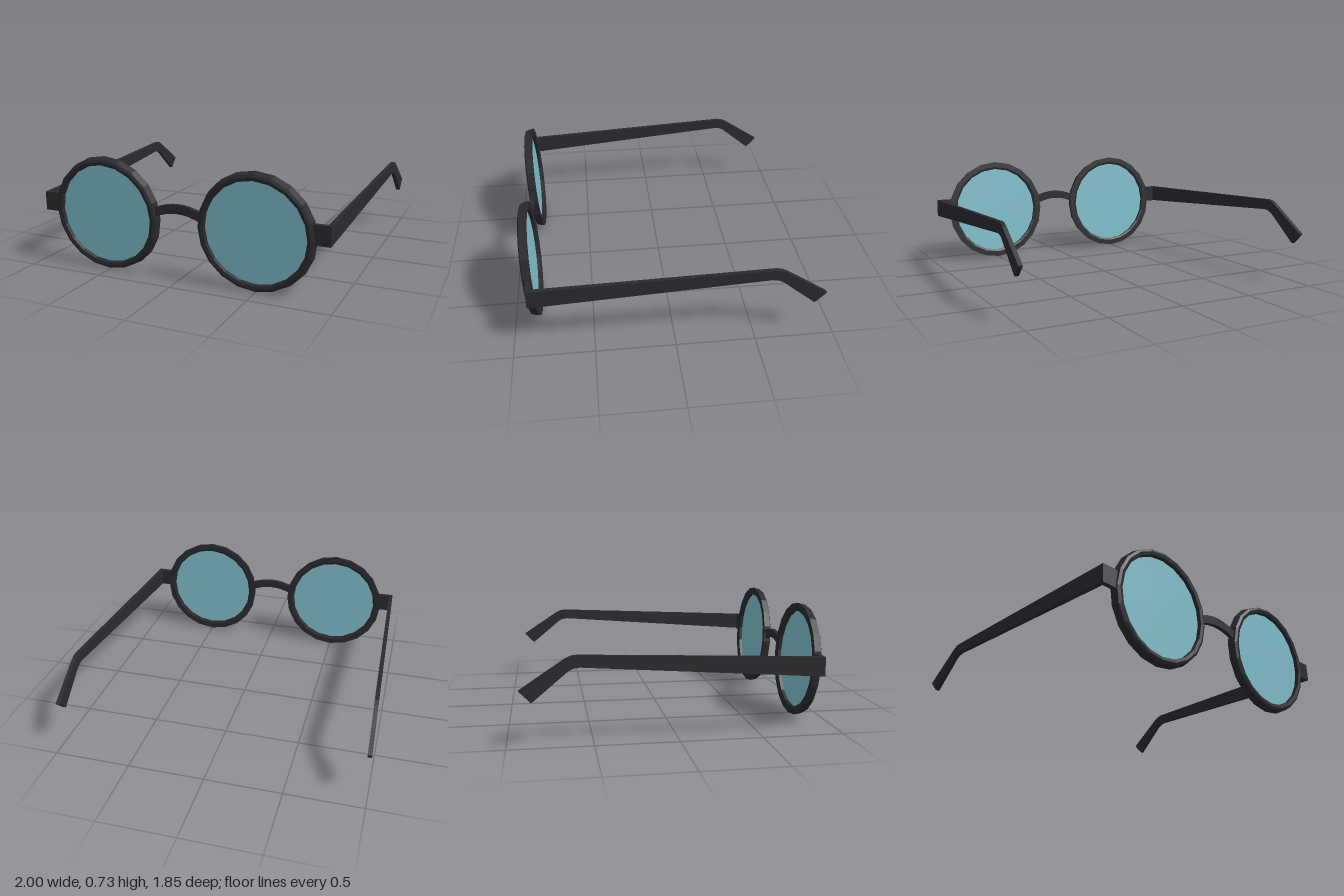
import * as THREE from 'three';

const frameMat = new THREE.MeshStandardMaterial({ color: 0x2b2b2f, flatShading: true });
const lensMat = new THREE.MeshStandardMaterial({ color: 0x7fbecb, side: THREE.DoubleSide });
const SIDES = 20;

function part(name, geometry, material = frameMat) {
  const mesh = new THREE.Mesh(geometry, material);
  mesh.name = name;
  return mesh;
}

// Round rim with a chamfered front, and its tinted lens
function createEyepiece() {
  const profile = [
    [0.368, -0.027], [0.358, 0.02], [0.342, 0.028], [0.322, 0.024], [0.315, -0.022], [0.33, -0.028], [0.368, -0.027],
  ].map(([r, z]) => new THREE.Vector2(r, z));
  const rim = part('rim', new THREE.LatheGeometry(profile, SIDES).rotateX(Math.PI / 2));
  const lens = part('lens', new THREE.CircleGeometry(0.32, SIDES).rotateZ(Math.PI / 2), lensMat);
  const eyepiece = new THREE.Group();
  eyepiece.name = 'eyepiece';
  eyepiece.add(rim, lens);
  eyepiece.position.set(0.5, 0.37, 0.877);
  eyepiece.rotation.x = 0.06;
  return eyepiece;
}

// Temple arm: side outline (z, y) extruded thin, then splayed outwards to the back
function createArm() {
  const outline = [
    [0.888, 0.35], [0.888, 0.47], [-0.59, 0.532], [-0.625, 0.528], [-0.66, 0.512],
    [-0.92, 0.34], [-0.85, 0.268], [-0.64, 0.443], [-0.61, 0.457], [-0.575, 0.462],
  ].map(([z, y]) => new THREE.Vector2(z, y));
  const geo = new THREE.ExtrudeGeometry(new THREE.Shape(outline), { depth: 0.026, bevelEnabled: false });
  geo.rotateY(-Math.PI / 2);
  const pos = geo.attributes.position;
  for (let i = 0; i < pos.count; i++) {
    pos.setX(i, pos.getX(i) + 0.954 + (0.888 - pos.getZ(i)) * 0.0254);
  }
  geo.computeVertexNormals();
  return part('templeArm', geo);
}

// Arched bridge between the rims
function createBridge() {
  const top = [], bottom = [];
  for (let i = 0; i <= 8; i++) {
    const t = i / 4 - 1;
    top.push(new THREE.Vector2(t * 0.16, 0.486 - 0.036 * t * t));
    bottom.unshift(new THREE.Vector2(t * 0.16, 0.43 - 0.04 * t * t));
  }
  const geo = new THREE.ExtrudeGeometry(new THREE.Shape([...top, ...bottom]), { depth: 0.026, bevelEnabled: false });
  return part('bridge', geo.translate(0, 0, 0.862));
}

export function createModel() {
  const model = new THREE.Group();
  model.name = 'glasses';
  for (const [name, sx] of [['leftSide', 1], ['rightSide', -1]]) {
    const side = new THREE.Group();
    side.name = name;
    side.scale.x = sx;
    const hinge = part('hinge', new THREE.BoxGeometry(0.09, 0.12, 0.03));
    hinge.position.set(0.892, 0.41, 0.873);
    side.add(createEyepiece(), hinge, createArm());
    model.add(side);
  }
  model.add(createBridge());
  return model;
}
